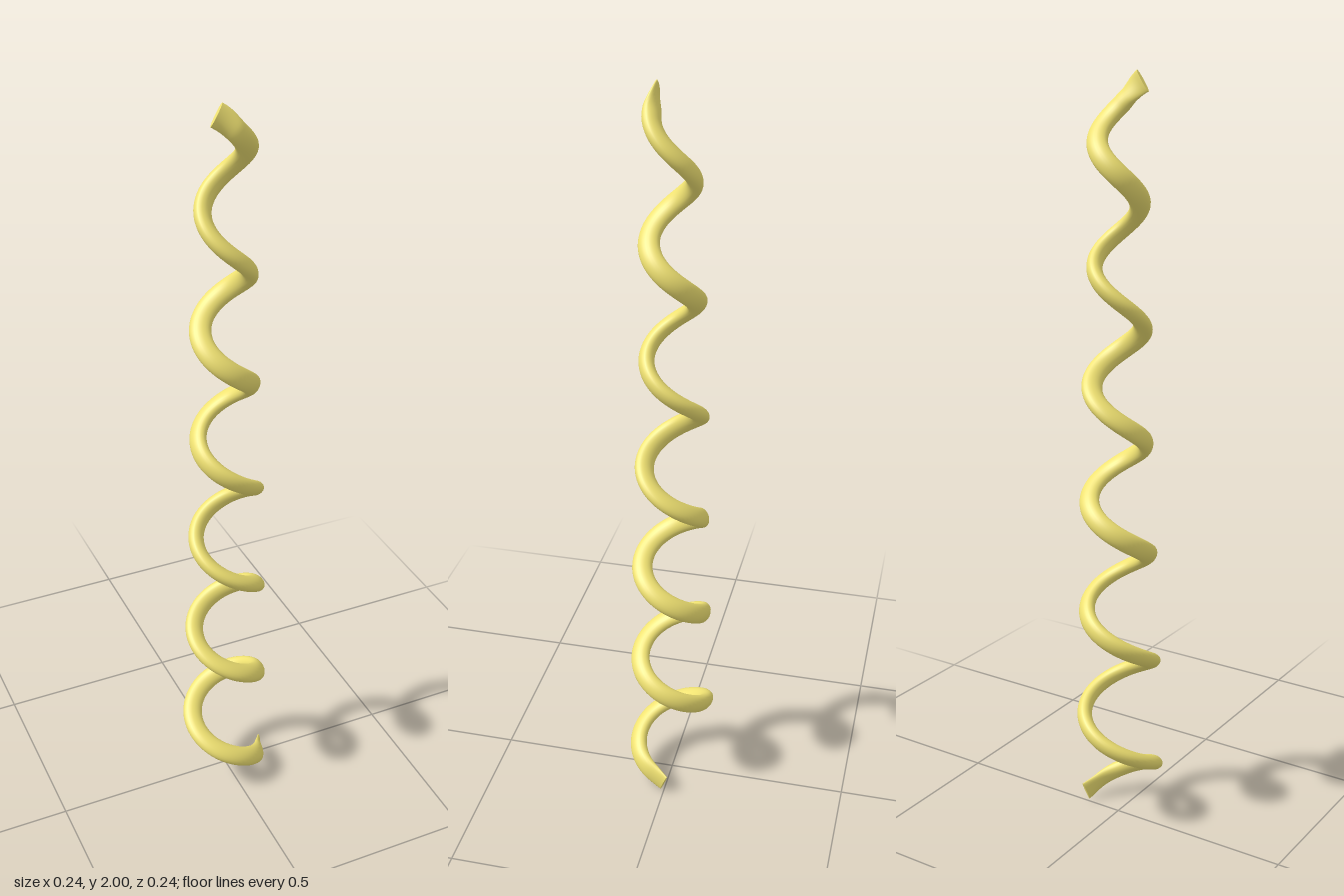
import * as THREE from 'three';

const TURNS = 6.37, RINGS = 420, SIDES = 24;
const START_FLARE = 0.068, END_FLARE = 6.26; // outside these turns the coil runs out straight

// Centre line: a rising spiral that narrows upwards, with straight tangent run-outs
function centreAt(turn) {
  const bend = Math.min(Math.max(turn, START_FLARE), END_FLARE);
  const r = (0.0995 - 0.0083 * bend) / Math.cos((turn - bend) * Math.PI * 2);
  const a = turn * Math.PI * 2;
  return new THREE.Vector3(r * Math.cos(a), 0.028 + 0.306 * turn, r * Math.sin(a));
}

// Oval section: two axes scaled to its half sizes, turning along the coil and flattened at the ends
function sectionAt(turn) {
  const centre = centreAt(turn);
  const tangent = centreAt(turn + 1e-3).sub(centreAt(turn - 1e-3)).normalize();
  const out = new THREE.Vector3(0, 1, 0).cross(tangent).normalize();
  const up = tangent.clone().cross(out);
  const twist = THREE.MathUtils.degToRad(190 * turn + 5.8 * turn * turn);
  const body = THREE.MathUtils.smoothstep(Math.min(turn, TURNS - turn), -0.03, 0.18);
  const thin = THREE.MathUtils.lerp(0.005, 0.02, body);
  const wide = THREE.MathUtils.lerp(0.03, 0.0275, body);
  const n = out.clone().multiplyScalar(Math.cos(twist)).addScaledVector(up, Math.sin(twist));
  const w = tangent.clone().cross(n);
  return { centre, tangent, n: n.multiplyScalar(thin), w: w.multiplyScalar(wide) };
}

export function createModel() {
  const group = new THREE.Group();
  group.name = 'spiralTendril';
  const material = new THREE.MeshStandardMaterial({ color: 0xf0e272 });

  // Coil: oval rings joined along the spiral
  const positions = [], indices = [];
  for (let i = 0; i <= RINGS; i++) {
    const { centre, n, w } = sectionAt(TURNS * i / RINGS);
    for (let j = 0; j < SIDES; j++) {
      const v = j / SIDES * Math.PI * 2;
      const p = centre.clone().addScaledVector(n, Math.cos(v)).addScaledVector(w, Math.sin(v));
      positions.push(p.x, p.y, p.z);
      if (i === RINGS) continue;
      const a = i * SIDES + j, b = i * SIDES + (j + 1) % SIDES;
      indices.push(a, b, b + SIDES, a, b + SIDES, a + SIDES);
    }
  }
  const geometry = new THREE.BufferGeometry();
  geometry.setAttribute('position', new THREE.Float32BufferAttribute(positions, 3));
  geometry.setIndex(indices);
  geometry.computeVertexNormals();
  const coil = new THREE.Mesh(geometry, material);
  coil.name = 'coil';
  group.add(coil);

  // Flat oval caps closing both ends
  for (const [name, turn, dir] of [['bottomCap', 0, -1], ['topCap', TURNS, 1]]) {
    const { centre, tangent, n, w } = sectionAt(turn);
    const basis = new THREE.Matrix4()
      .makeBasis(n.multiplyScalar(dir), w, tangent.multiplyScalar(dir))
      .setPosition(centre);
    const cap = new THREE.Mesh(new THREE.CircleGeometry(1, SIDES).applyMatrix4(basis), material);
    cap.name = name;
    group.add(cap);
  }
  return group;
}
